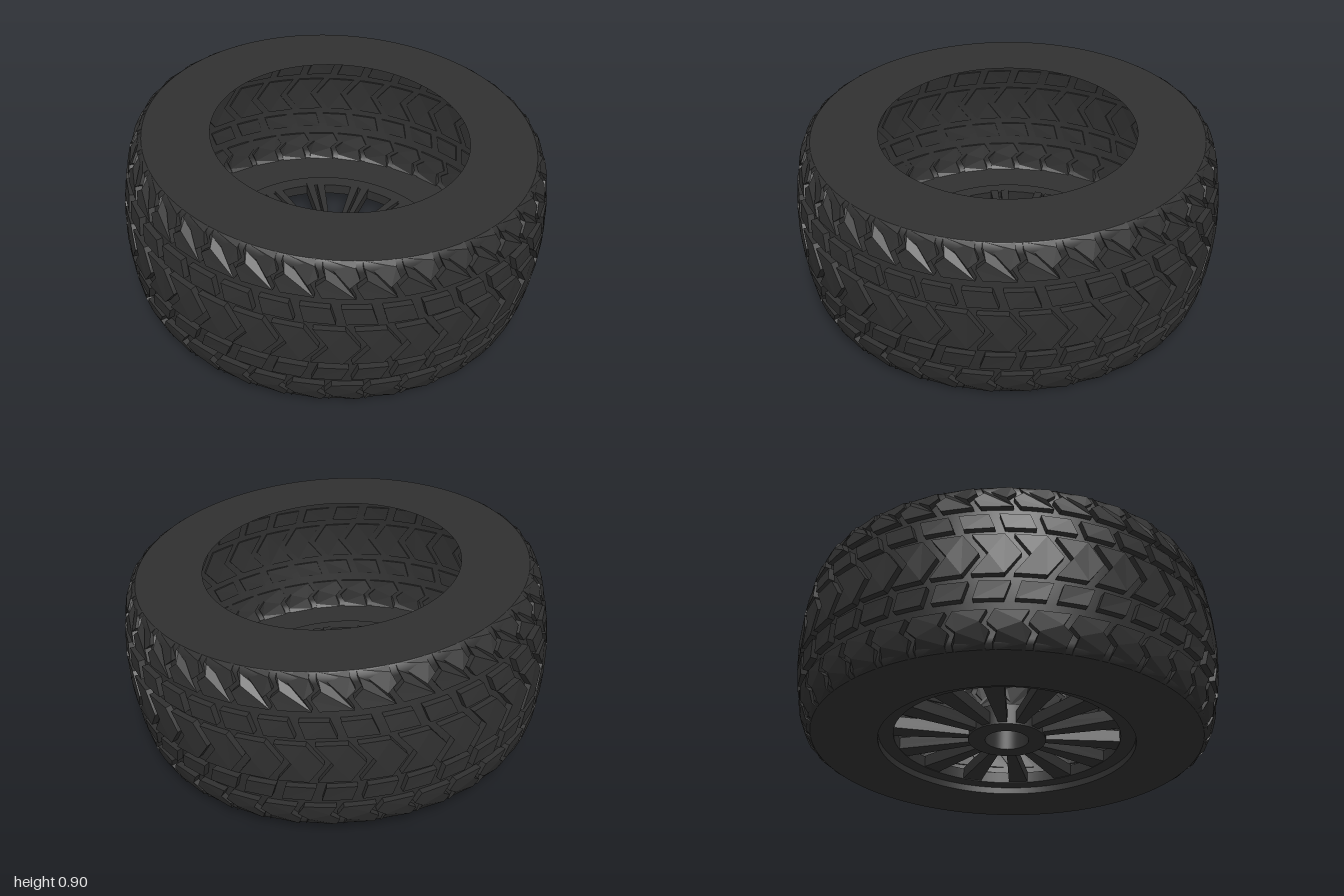
import * as THREE from 'three';
import { mergeGeometries } from 'three/addons/utils/BufferGeometryUtils.js';

const HALF = 0.397;          // half of the tyre width
const PITCH = Math.PI / 18;  // one tread repeat
const SPOKES = 14;

// Piecewise-linear radius of the tread crown at height h, and of the carcass below it
const CROWN = [[0, 1], [0.1, 0.996], [0.2, 0.984], [0.3, 0.966], [0.355, 0.95], [0.38, 0.935], [HALF, 0.908]];
function crown(h) {
  const a = Math.abs(h);
  for (let i = 1; i < CROWN.length; i++) {
    const [h0, r0] = CROWN[i - 1], [h1, r1] = CROWN[i];
    if (a <= h1) return r0 + (r1 - r0) * (a - h0) / (h1 - h0);
  }
  return 0.908;
}
const carcass = h => crown(h) - 0.03 * Math.min(1, (HALF - Math.abs(h)) / 0.06);

export function createModel() {
  const model = new THREE.Group();
  const wheel = new THREE.Group();
  wheel.name = 'wheel';
  model.add(wheel);

  const rubber = new THREE.MeshStandardMaterial({ color: 0x303030, side: THREE.DoubleSide });
  const block = new THREE.MeshStandardMaterial({ color: 0x303030, flatShading: true });

  const add = (name, geometry, material) => {
    const mesh = new THREE.Mesh(geometry, material);
    mesh.name = name;
    wheel.add(mesh);
    return mesh;
  };
  const lathe = (points, segments = 108) =>
    new THREE.LatheGeometry(points.map(([r, h]) => new THREE.Vector2(r, h)), segments);

  // Carcass: a thin hollow shell under the tread
  const heights = CROWN.map(c => c[0]);
  const profile = [...heights.slice(1).reverse().map(h => -h), ...heights].map(h => [carcass(h), h]);
  add('carcass', lathe(profile), rubber);

  // Flat sidewalls with the wide central opening
  add('upperSidewall', lathe([[0.908, HALF], [0.6, HALF]]), rubber);
  add('lowerSidewall', lathe([[0.6, -HALF], [0.908, -HALF]]), rubber);

  // Tread rows: an outline in (pitch, height) wrapped around the crown and repeated
  function treadRow(name, outline, side, offset) {
    const shape = new THREE.Shape(outline.map(([u, h]) => new THREE.Vector2(u * PITCH, side * h)));
    const base = new THREE.ExtrudeGeometry(shape, { depth: 1, bevelEnabled: false });
    const p = base.attributes.position;
    for (let i = 0; i < p.count; i++) {
      const a = p.getX(i) + offset * PITCH, h = p.getY(i);
      const r = p.getZ(i) > 0.5 ? crown(h) : carcass(h) - 0.008;
      p.setXYZ(i, r * Math.sin(a), h, r * Math.cos(a));
    }
    base.computeVertexNormals();
    const copies = [];
    for (let k = 0; k < 36; k++) copies.push(base.clone().rotateY(k * PITCH));
    add(name, mergeGeometries(copies), block);
  }

  const chevron = [[0, -0.095], [0.4, 0], [0, 0.095], [-0.78, 0.095], [-0.38, 0], [-0.78, -0.095]];
  const middle = [[0, 0.128], [0.76, 0.128], [0.6, 0.205], [-0.14, 0.205]];
  const edge = [[0.9, 0.25], [0.72, 0.3], [0.96, 0.335], [0.85, 0.38], [0.85, HALF]];
  const shoulder = [...edge, ...edge.map(([u, h]) => [u - 0.82, h]).reverse()];

  treadRow('centreChevrons', chevron, 1, 0);
  for (const [label, side, offset] of [['upper', 1, 0], ['lower', -1, 0.4]]) {
    treadRow(label + 'MiddleBlocks', middle, side, offset);
    treadRow(label + 'ShoulderBlocks', shoulder, side, offset + 0.3);
  }

  // Rim and hub, as closed rectangular rings set into the lower opening
  const ring = (name, rIn, rOut, h0, h1) => {
    const faces = [
      [[rIn, h0], [rOut, h0]], [[rOut, h0], [rOut, h1]],
      [[rOut, h1], [rIn, h1]], [[rIn, h1], [rIn, h0]],
    ];
    add(name, mergeGeometries(faces.map(f => lathe(f, 72))), rubber);
  };
  add('rimLip', lathe([[0.6, -HALF], [0.6, -0.36]]), rubber);
  ring('rim', 0.53, 0.6, -0.365, -0.31);
  ring('hub', 0.102, 0.182, -0.37, -0.27);

  // Tapered spokes: a face plate with two walls leaving a groove on the inner side
  const slab = (corners, h0, h1) => {
    const shape = new THREE.Shape(corners.map(([x, z]) => new THREE.Vector2(x, z)));
    return new THREE.ExtrudeGeometry(shape, { depth: h1 - h0, bevelEnabled: false })
      .rotateX(-Math.PI / 2).translate(0, h0, 0);
  };
  const inner = 0.17, outer = 0.54;
  const spokeGeometry = mergeGeometries([
    slab([[-0.02, inner], [0.02, inner], [0.048, outer], [-0.048, outer]], -0.362, -0.345),
    ...[-1, 1].map(s => slab(
      [[s * 0.004, inner], [s * 0.02, inner], [s * 0.048, outer], [s * 0.008, outer]], -0.35, -0.305)),
  ]);
  for (let k = 0; k < SPOKES; k++) {
    const spoke = add('spoke', spokeGeometry, block);
    spoke.rotation.y = THREE.MathUtils.degToRad(6) - k * 2 * Math.PI / SPOKES;
  }

  // The wheel lies on its side with a slight lean
  const axis = new THREE.Vector3(0.048, 1, -0.037).normalize();
  wheel.quaternion.setFromUnitVectors(new THREE.Vector3(0, 1, 0), axis);
  wheel.position.y = 0.452;
  return model;
}
